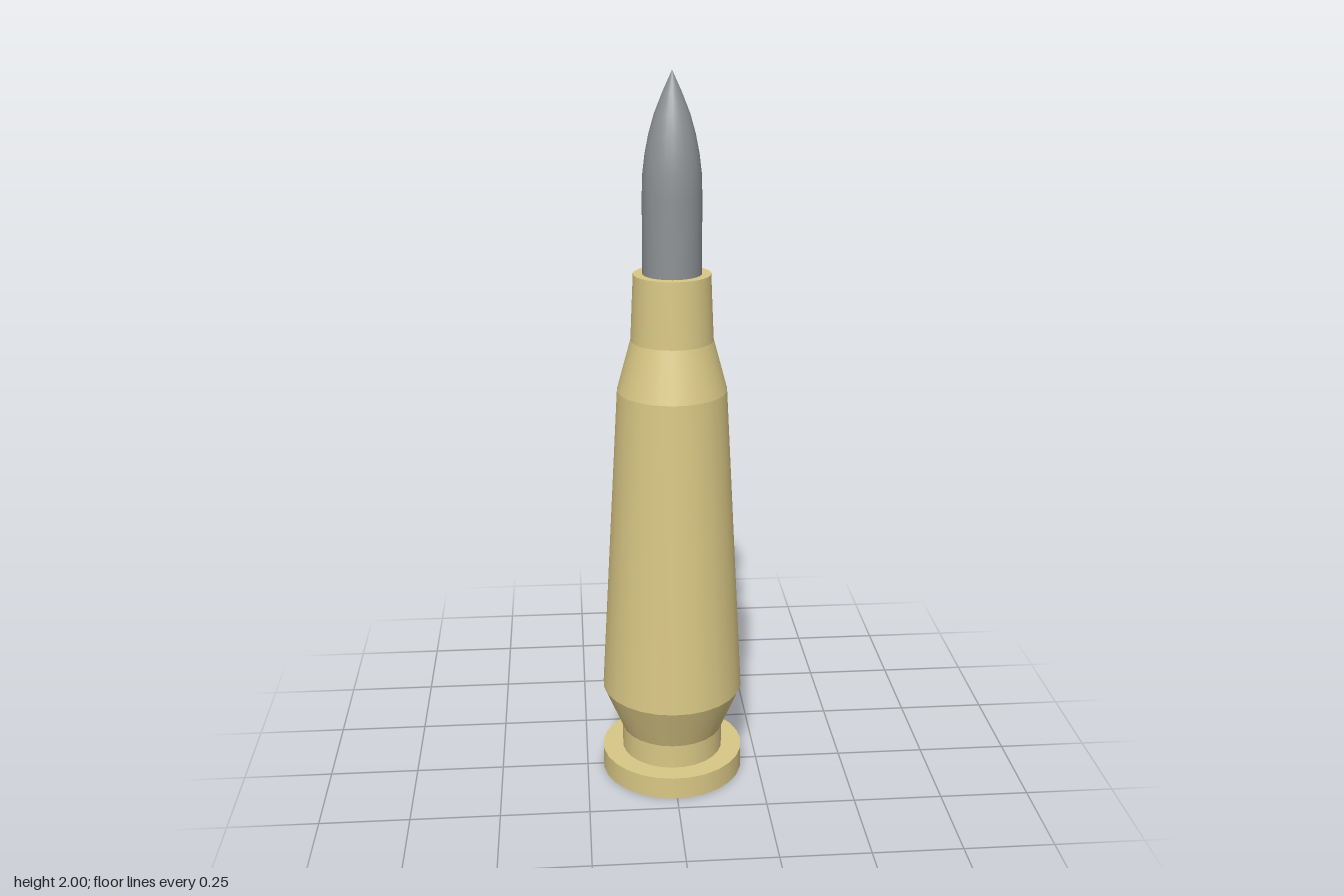
import * as THREE from 'three';
import { mergeGeometries } from 'three/addons/utils/BufferGeometryUtils.js';

const SIDES = 27;

// Smooth round surface from a profile of [radius, y], listed bottom to top
function turned(profile) {
  const points = profile.map(([r, y]) => new THREE.Vector2(r, y));
  return new THREE.LatheGeometry(points, SIDES, Math.PI / 2);
}

// One band per pair of profile points, so that every ring is a sharp edge
function banded(profile) {
  const bands = [];
  for (let i = 1; i < profile.length; i++) bands.push(turned([profile[i - 1], profile[i]]));
  return mergeGeometries(bands);
}

export function createModel() {
  const brass = new THREE.MeshStandardMaterial({ color: 0xd9c785 });
  brass.name = 'brass';
  const steel = new THREE.MeshStandardMaterial({ color: 0x8e9295 });
  steel.name = 'steel';

  const model = new THREE.Group();
  model.name = 'cartridge';
  const add = (name, geometry, material) => {
    const mesh = new THREE.Mesh(geometry, material);
    mesh.name = name;
    model.add(mesh);
  };

  // Flat base disc
  add('rim', banded([[0, 0], [0.203, 0], [0.203, 0.065], [0.145, 0.065]]), brass);

  // Groove above the rim and the flare up to the widest part
  add('extractorGroove', banded([[0.145, 0.065], [0.145, 0.135], [0.2, 0.267]]), brass);

  // Tapered body
  add('caseBody', banded([[0.2, 0.267], [0.15, 1.157]]), brass);

  // Shoulder, neck and flat mouth
  add('caseNeck', banded([[0.15, 1.157], [0.112, 1.297], [0.104, 1.477], [0.078, 1.477]]), brass);

  // Straight shank running into a pointed nose
  add('bullet', turned([
    [0.079, 1.46], [0.079, 1.68], [0.077, 1.74], [0.071, 1.79],
    [0.061, 1.84], [0.047, 1.89], [0.025, 1.945], [0, 2],
  ]), steel);

  return model;
}
